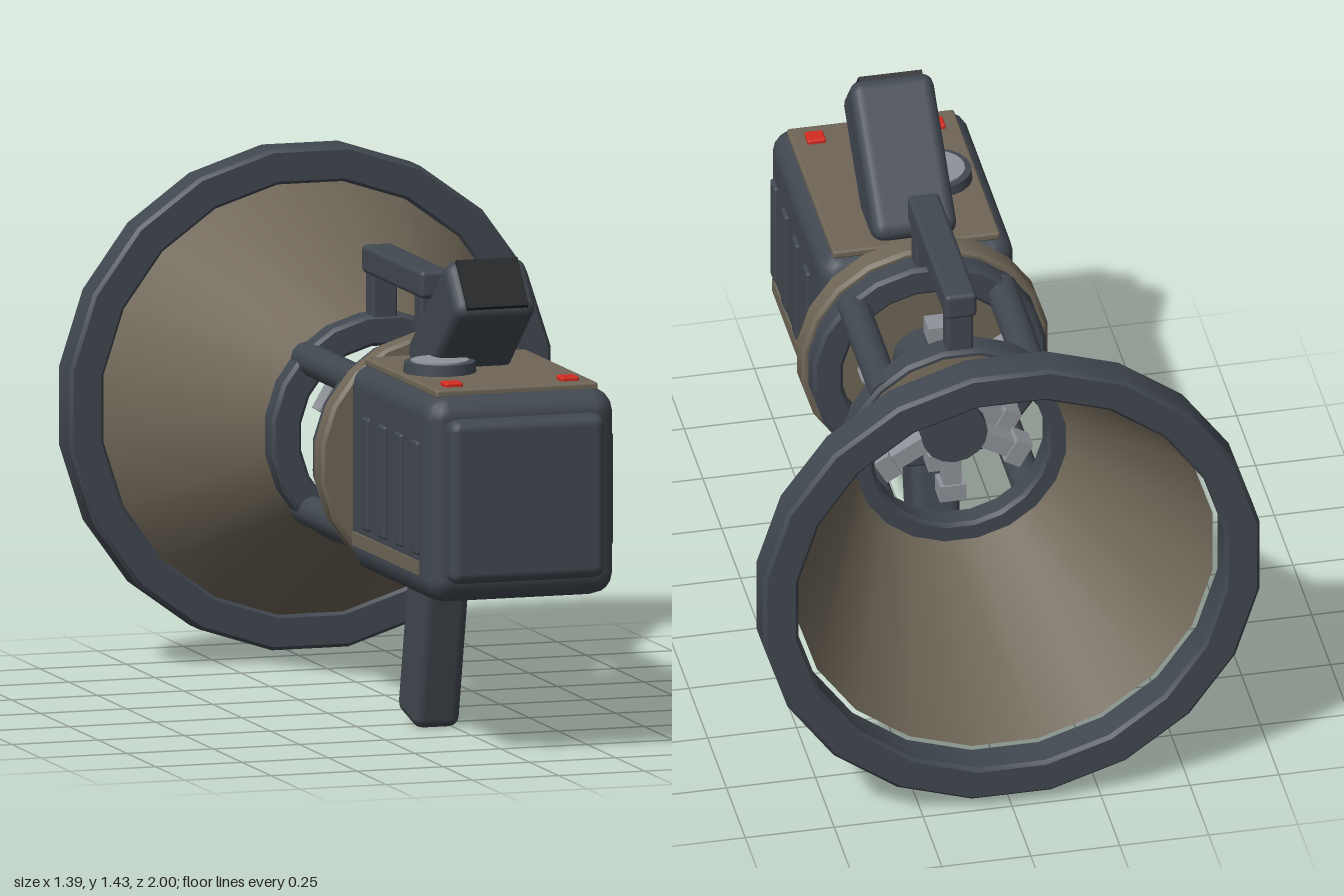
import * as THREE from 'three';
import { toCreasedNormals } from 'three/addons/utils/BufferGeometryUtils.js';
import { RoundedBoxGeometry } from 'three/addons/geometries/RoundedBoxGeometry.js';

const AXIS = 0.73; // height of the horn axis
const SIDES = 20;

export function createModel() {
  const model = new THREE.Group();
  model.name = 'hornDevice';
  const mat = (name, color) => Object.assign(new THREE.MeshStandardMaterial({ color }), { name });
  const dark = mat('dark slate', 0x414850);
  const tan = mat('olive tan', 0x6f6657);
  const grey = mat('steel grey', 0x8f9399);
  const black = mat('black', 0x202224);
  const red = mat('signal red', 0xd42a20);

  const add = (name, geometry, material, x = 0, y = 0, z = 0, parent = model) => {
    const mesh = new THREE.Mesh(geometry, material);
    mesh.name = name;
    mesh.position.set(x, y, z);
    parent.add(mesh);
    return mesh;
  };
  const rounded = (w, h, d, r) => new RoundedBoxGeometry(w, h, d, 2, r);

  // Turned part about the z axis; the profile is [radius, z] pairs
  const turned = (name, profile, material) => {
    const points = profile.map(([r, z]) => new THREE.Vector2(r, z));
    const g = new THREE.LatheGeometry(points, SIDES, Math.PI / SIDES);
    return add(name, toCreasedNormals(g.rotateX(Math.PI / 2), 0.45), material, 0, AXIS, 0);
  };
  // Ring with small chamfers on its outer and inner edges
  const ring = (name, inner, outer, z0, z1, material, c = 0.01) => turned(name, [
    [inner + c, z0], [outer - c, z0], [outer, z0 + c], [outer, z1 - c],
    [outer - c, z1], [inner + c, z1], [inner, z1 - c], [inner, z0 + c], [inner + c, z0],
  ], material);

  // Horn and its heavy rim
  turned('horn', [[0.607, -0.9], [0.307, -0.31], [0.292, -0.31], [0.592, -0.9]], tan);
  ring('hornRim', 0.605, 0.706, -1, -0.89, dark);

  // Cage: two rings, four rods and the disc behind the body
  ring('rearCageRing', 0.245, 0.332, -0.322, -0.245, dark);
  ring('frontCageRing', 0.245, 0.332, 0.095, 0.17, dark);
  turned('mountDisc', [[0, 0.16], [0.34, 0.16], [0.35, 0.17], [0.35, 0.225], [0.34, 0.235], [0, 0.235]], tan);
  for (const sx of [-1, 1]) for (const sy of [-1, 1]) {
    const rod = new THREE.CylinderGeometry(0.045, 0.045, 0.45, 12).rotateX(Math.PI / 2);
    add('cageRod', rod, dark, sx * 0.208, AXIS + sy * 0.21, -0.088);
  }

  // Hub with two sets of radial spokes
  add('hub', new THREE.CylinderGeometry(0.092, 0.092, 0.4, 16).rotateX(Math.PI / 2), dark, 0, AXIS, -0.04);
  for (const z of [-0.03, -0.182]) {
    const spokes = new THREE.Group();
    spokes.name = 'spokeSet';
    spokes.position.set(0, AXIS, z);
    model.add(spokes);
    for (let i = 0; i < 6; i++) {
      const spoke = new THREE.Group();
      spoke.name = 'spoke';
      spoke.rotation.z = Math.PI / 6 + i * Math.PI / 3;
      spokes.add(spoke);
      add('spokeArm', new THREE.BoxGeometry(0.12, 0.05, 0.055), grey, 0.14, 0, 0, spoke);
      add('spokeTip', new THREE.BoxGeometry(0.05, 0.075, 0.068), grey, 0.212, 0, 0, spoke);
    }
  }

  // Carrying handle
  add('carryBar', rounded(0.09, 0.078, 0.518, 0.014), dark, 0, 1.207, -0.067);
  for (const z of [0.14, -0.28]) add('carryPost', rounded(0.075, 0.16, 0.062, 0.01), dark, 0, 1.11, z);

  // Body and front pad
  add('body', rounded(0.55, 0.575, 0.715, 0.065), dark, 0, 0.727, 0.593);
  add('frontPad', rounded(0.45, 0.455, 0.1, 0.03), dark, 0, 0.727, 0.95);
  add('topPlate', rounded(0.47, 0.024, 0.625, 0.008), tan, 0, 1.017, 0.582);

  // Raised ribs and trim strip on both sides
  for (const s of [-1, 1]) {
    for (const z of [0.845, 0.702, 0.56, 0.417]) {
      add('sideRib', rounded(0.03, 0.315, 0.058, 0.008), dark, s * 0.271, 0.727, z);
    }
    add('sideTrim', new THREE.BoxGeometry(0.02, 0.038, 0.57), tan, s * 0.271, 0.533, 0.585);
    add('button', rounded(0.052, 0.026, 0.05, 0.006), red, s * 0.168, 1.028, 0.827);
  }

  // Dial on the top plate
  add('dial', new THREE.CylinderGeometry(0.098, 0.102, 0.04, 20), dark, -0.118, 1.038, 0.575);
  add('dialFace', new THREE.CylinderGeometry(0.08, 0.08, 0.006, 20), grey, -0.118, 1.06, 0.575);

  // Tilted viewfinder with black eyepiece
  const finder = new THREE.Group();
  finder.name = 'viewfinder';
  finder.position.set(-0.003, 1.135, 0.508);
  finder.rotation.x = -0.7;
  model.add(finder);
  add('viewfinderBody', rounded(0.236, 0.185, 0.46, 0.035), dark, 0, 0, 0, finder);
  add('eyepiece', new THREE.BoxGeometry(0.178, 0.155, 0.03), black, 0, 0, 0.222, finder);

  // Pistol grip, collar and trigger
  const grip = add('grip', rounded(0.134, 0.48, 0.172, 0.03), dark, -0.045, 0.245, 0.308);
  grip.rotation.x = 0.22;
  add('gripCollar', rounded(0.15, 0.05, 0.25, 0.015), dark, -0.045, 0.443, 0.34);
  const trigger = add('trigger', rounded(0.05, 0.14, 0.035, 0.008), dark, -0.045, 0.375, 0.185);
  trigger.rotation.x = 0.22;

  return model;
}
